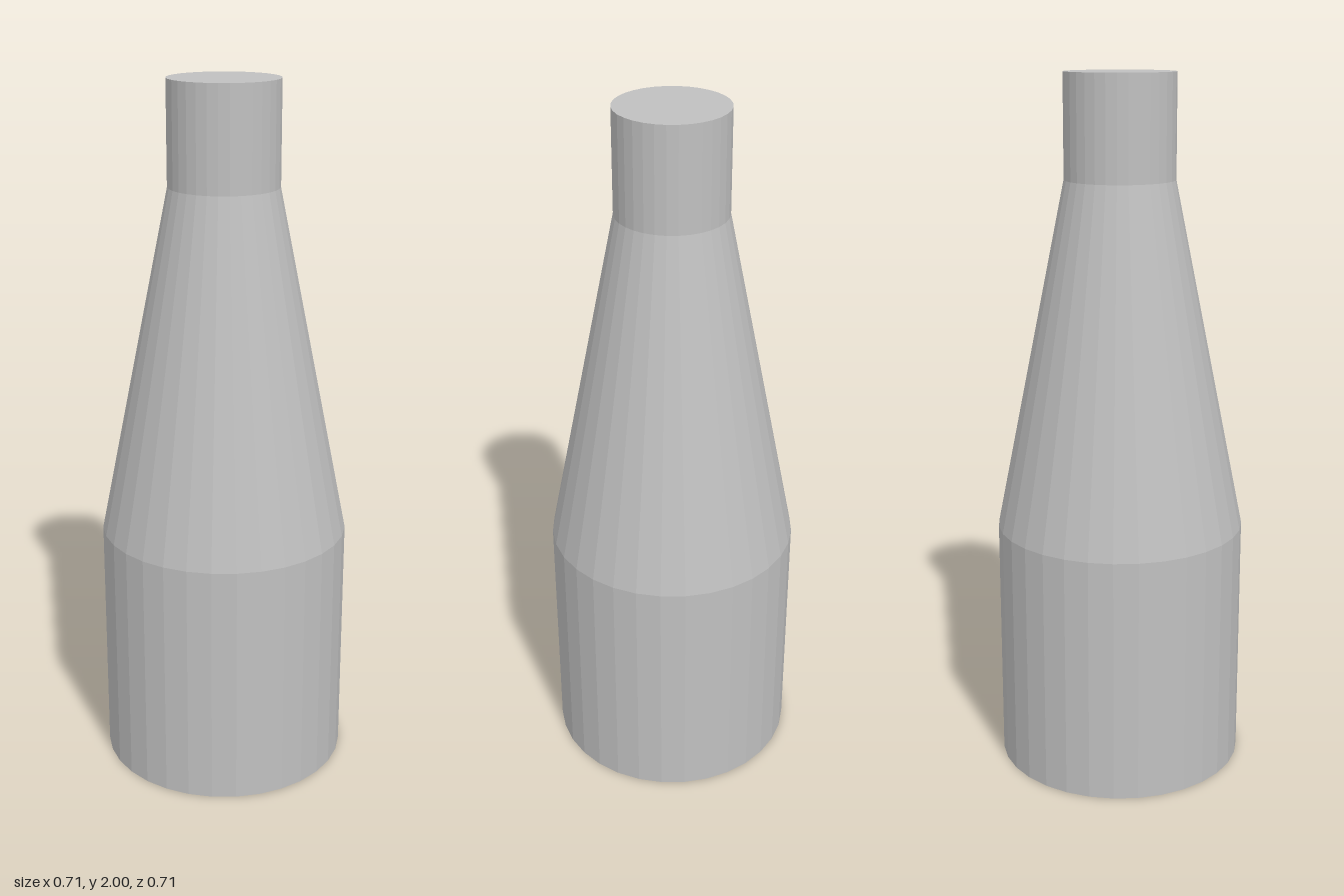
import * as THREE from 'three';
import { mergeVertices } from 'three/addons/utils/BufferGeometryUtils.js';

const SIDES = 32;

// One straight or tapered section with faceted sides, standing from y0 to y1
function section(name, rBottom, rTop, y0, y1, material) {
  const geometry = new THREE.CylinderGeometry(rTop, rBottom, y1 - y0, SIDES, 1, true).toNonIndexed();
  geometry.translate(0, (y0 + y1) / 2, 0);
  geometry.computeVertexNormals(); // flat facets
  const mesh = new THREE.Mesh(mergeVertices(geometry), material);
  mesh.name = name;
  return mesh;
}

// Flat disc closing an end of the bottle
function disc(name, radius, y, facing, material) {
  const geometry = new THREE.CircleGeometry(radius, SIDES);
  geometry.rotateX(-facing * Math.PI / 2);
  geometry.translate(0, y, 0);
  const mesh = new THREE.Mesh(geometry, material);
  mesh.name = name;
  return mesh;
}

export function createModel() {
  const group = new THREE.Group();
  group.name = 'bottle';

  const grey = new THREE.MeshStandardMaterial({ color: 0xc0c0c0 });
  grey.name = 'light grey';

  const bodyRadius = 0.357, neckRadius = 0.156;
  const shoulderY = 0.714, neckY = 1.71, topY = 2;

  group.add(
    disc('base', bodyRadius, 0, -1, grey),
    section('body', bodyRadius, bodyRadius, 0, shoulderY, grey),
    section('shoulder', bodyRadius, neckRadius, shoulderY, neckY, grey),
    section('neck', neckRadius, neckRadius, neckY, topY, grey),
    disc('top', neckRadius, topY, 1, grey),
  );
  return group;
}
